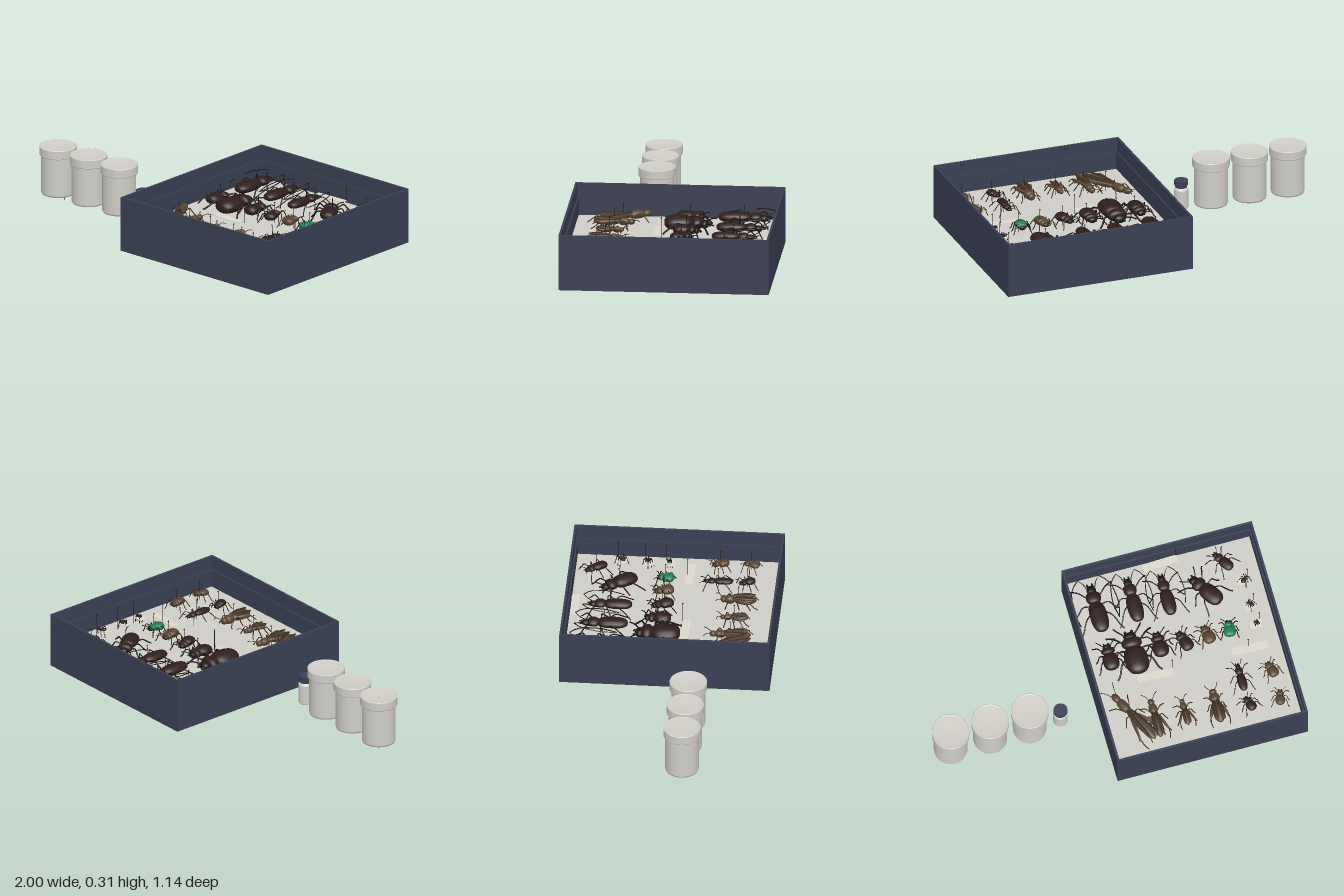
import * as THREE from 'three';

const mat = (name, color, side = THREE.FrontSide) => {
  const m = new THREE.MeshStandardMaterial({ color, side });
  m.name = name;
  return m;
};
const M = {
  navy: mat('navy board', 0x3a4054),
  pale: mat('pale foam and frosted glass', 0xcfcdc6),
  label: mat('paper label', 0xdad8cc),
  shell: mat('dark shell', 0x2f1e1d),
  black: mat('black limbs', 0x1d1716),
  brown: mat('brown shell', 0x584430),
  limb: mat('brown limbs', 0x3c2d20),
  green: mat('green shell', 0x1f7f50),
};
const FLOOR = 0.13; // height of the foam bed
const LIFT = 0.042; // insects are pinned above the foam

function add(parent, name, geo, material, x = 0, y = 0, z = 0) {
  const mesh = new THREE.Mesh(geo, material);
  mesh.name = name;
  mesh.position.set(x, y, z);
  parent.add(mesh);
  return mesh;
}

// rounded pod along z; a higher exponent gives straighter sides
function podGeometry(n) {
  const pts = [];
  for (let i = 0; i <= 14; i++) {
    const t = -Math.cos((Math.PI * i) / 14);
    pts.push(new THREE.Vector2(Math.pow(Math.max(0, 1 - Math.pow(Math.abs(t), n)), 1 / n), t));
  }
  return new THREE.LatheGeometry(pts, 16).rotateX(Math.PI / 2);
}
const ROUND = podGeometry(2), BLUNT = podGeometry(2.7);

function pod(parent, name, material, geo, w, h, l, x, y, z) {
  const p = add(parent, name, geo, material, x, y, z);
  p.scale.set(w / 2, h / 2, l / 2);
  return p;
}

function limb(parent, name, pts, r, material) {
  const curve = new THREE.CatmullRomCurve3(pts.map((p) => new THREE.Vector3(...p)), false, 'catmullrom', 0.3);
  return add(parent, name, new THREE.TubeGeometry(curve, 9, r, 5), material);
}

function pin(parent, x, z, top = 0.115) {
  add(parent, 'pin', new THREE.CylinderGeometry(0.0015, 0.0015, top, 5), M.black, x, FLOOR + top / 2, z);
  add(parent, 'pinHead', new THREE.SphereGeometry(0.004, 8, 6), M.black, x, FLOOR + top, z);
}

// six jointed legs, L body length, W body width, S sideways reach
function legs(g, L, W, S, r, m) {
  const rows = [[-0.2, -0.36, -0.5], [-0.06, -0.06, 0.06], [0.06, 0.22, 0.5]];
  for (const s of [-1, 1]) for (const [hip, knee, foot] of rows) {
    limb(g, 'leg', [
      [s * W * 0.25, -0.006, hip * L], [s * (W * 0.25 + S * 0.4), 0.012, knee * L],
      [s * S * 0.85, -0.02, (knee * 0.3 + foot * 0.7) * L], [s * S, -LIFT + 0.006, foot * L],
    ], r, m);
  }
}

function beetle(g, L, W, S, body, limbs, horn) {
  const H = W * 0.62;
  pod(g, 'wingCases', body, BLUNT, W, H, L * 0.64, 0, 0, L * 0.18);
  pod(g, 'thorax', body, BLUNT, W * 0.86, H * 0.85, L * 0.25, 0, 0, -L * 0.22);
  pod(g, 'head', limbs, ROUND, W * 0.55, H * 0.6, L * 0.2, 0, -H * 0.08, -L * 0.38);
  // seam between the wing cases
  pod(g, 'seam', limbs, BLUNT, W * 0.03, H * 1.02, L * 0.64, 0, 0.0005, L * 0.18);
  const r = Math.max(0.0022, W * 0.04);
  legs(g, L, W, S, r, limbs);
  for (const s of [-1, 1]) {
    pod(g, 'jaw', limbs, ROUND, W * 0.13, H * 0.2, L * 0.12, s * W * 0.14, -H * 0.1, -L * 0.47);
    const path = horn
      ? [[s * W * 0.2, 0, -L * 0.4], [s * S * 0.45, 0.02, -L * 0.62], [s * S * 0.9, 0.02, -L * 0.42],
        [s * S * 1.05, 0.01, -L * 0.02], [s * S * 0.9, 0, L * 0.3]]
      : [[s * W * 0.2, 0, -L * 0.4], [s * W * 0.45, 0.008, -L * 0.52], [s * W * 0.6, 0.004, -L * 0.62]];
    limb(g, 'antenna', path, r * 0.8, limbs);
  }
}

function cricket(g, L, W, S) {
  const H = W * 0.8;
  pod(g, 'abdomen', M.brown, ROUND, W, H, L * 0.66, 0, 0, L * 0.17);
  pod(g, 'thorax', M.brown, BLUNT, W * 0.9, H, L * 0.25, 0, 0, -L * 0.23);
  pod(g, 'head', M.brown, ROUND, W * 0.7, H * 0.8, L * 0.17, 0, 0, -L * 0.4);
  legs(g, L * 0.7, W, S * 0.9, 0.003, M.limb);
  for (const s of [-1, 1]) {
    // folded wing, strong hind thigh and shin
    const wing = pod(g, 'wing', M.limb, ROUND, W * 0.45, H * 0.3, L * 0.62, s * W * 0.27, H * 0.38, L * 0.16);
    wing.rotation.y = s * 0.08;
    const thigh = pod(g, 'thigh', M.brown, ROUND, W * 0.3, W * 0.4, L * 0.44, s * (W * 0.3 + S * 0.27), 0.005, L * 0.14);
    thigh.rotation.y = s * 0.35;
    const k = s * (W * 0.3 + S * 0.27 + L * 0.075);
    limb(g, 'shin', [[k, 0.005, L * 0.34], [k * 1.05, -0.015, L * 0.44], [k * 0.95, -0.032, L * 0.54]], 0.0028, M.limb);
    limb(g, 'antenna', [[s * W * 0.2, 0.006, -L * 0.44], [s * W * 0.5, 0.016, -L * 0.55], [s * S * 0.6, 0.01, -L * 0.62]], 0.002, M.limb);
  }
}

function jar(root, x) {
  const g = new THREE.Group();
  g.name = 'specimenJar';
  g.position.set(x, 0, 0.16);
  root.add(g);
  const v = (a) => a.map((p) => new THREE.Vector2(...p));
  add(g, 'jarBody', new THREE.LatheGeometry(v([[0, 0.026], [0.082, 0.026], [0.082, 0.026], [0.089, 0.029],
    [0.092, 0.037], [0.092, 0.037], [0.092, 0.255]]), 40), M.pale);
  add(g, 'jarLid', new THREE.LatheGeometry(v([[0.09, 0.25], [0.1, 0.25], [0.1, 0.25], [0.102, 0.253], [0.102, 0.253],
    [0.102, 0.298], [0.102, 0.298], [0.1, 0.301], [0.097, 0.301], [0.097, 0.301], [0.09, 0.297], [0, 0.294]]), 40), M.pale);
}

export function createModel() {
  const root = new THREE.Group();
  root.name = 'insectCollection';

  // display case
  const box = new THREE.Group();
  box.name = 'displayCase';
  root.add(box);
  const cx = 0.464, w = 1.072, d = 1.144;
  add(box, 'base', new THREE.BoxGeometry(w, 0.12, d), M.navy, cx, 0.06, 0);
  add(box, 'foamBed', new THREE.BoxGeometry(w - 0.03, 0.012, d - 0.03), M.pale, cx, FLOOR - 0.006, 0);
  for (const [name, t, inset, top] of [['wall', 0.012, 0, 0.308], ['innerLedge', 0.008, 0.012, 0.23]]) {
    const h = top - 0.118, y = (top + 0.118) / 2;
    for (const s of [-1, 1]) {
      add(box, name, new THREE.BoxGeometry(t, h, d - 2 * inset), M.navy, cx + s * (w / 2 - inset - t / 2), y, 0);
      add(box, name, new THREE.BoxGeometry(w - 2 * (inset + t), h, t), M.navy, cx, y, s * (d / 2 - inset - t / 2));
    }
  }

  // paper strips with their pins
  for (const [x, z, a, px, pz] of [[0.47, -0.527, 0.04, 0.565, -0.55], [0.275, 0.088, -0.04, 0.375, 0.065], [0.81, 0.075, -0.03, 0.805, 0.06]]) {
    add(box, 'labelStrip', new THREE.BoxGeometry(0.2, 0.003, 0.045), M.label, x, FLOOR + 0.012, z).rotation.y = a;
    pin(box, px, pz);
  }

  // x, z, length, width, reach, turn, shell, limbs, long antennae
  const { shell, black, brown, limb: tan, green } = M;
  const beetles = [
    [0.067, -0.36, 0.28, 0.096, 0.12, 0, shell, black, true],
    [0.27, -0.355, 0.26, 0.084, 0.105, 0, shell, black, true],
    [0.452, -0.335, 0.24, 0.076, 0.1, 0, shell, black, true],
    [0.665, -0.305, 0.22, 0.095, 0.1, 0.6, shell, black],
    [0.8, -0.44, 0.135, 0.06, 0.07, 0.6, shell, black],
    [0.061, -0.07, 0.155, 0.088, 0.078, 0, shell, black],
    [0.197, -0.06, 0.25, 0.13, 0.125, 0, shell, black],
    [0.34, -0.068, 0.145, 0.088, 0.075, 0, shell, black],
    [0.475, -0.053, 0.125, 0.072, 0.065, 0.35, shell, black],
    [0.607, -0.055, 0.11, 0.07, 0.058, 0.2, brown, tan],
    [0.73, -0.055, 0.095, 0.068, 0.052, -0.15, green, black],
    [0.715, 0.232, 0.16, 0.05, 0.062, 0, shell, black],
    [0.72, 0.39, 0.09, 0.054, 0.055, 0.4, shell, black],
    [0.887, 0.232, 0.095, 0.06, 0.052, 0.3, brown, tan],
    [0.89, 0.4, 0.09, 0.052, 0.05, -0.25, brown, tan],
  ];
  const place = (name, x, z, turn) => {
    const g = new THREE.Group();
    g.name = name;
    g.position.set(x, FLOOR + LIFT, z);
    g.rotation.y = turn;
    box.add(g);
    return g;
  };
  for (const [x, z, L, W, S, turn, body, limbs, horn] of beetles) {
    beetle(place('beetle', x, z, turn), L, W, S, body, limbs, horn);
    pin(box, x + W * 0.2, z);
  }

  // crickets and locusts: x, z, length, width, reach, turn
  for (const [x, z, L, W, S, turn] of [[0.095, 0.295, 0.35, 0.058, 0.075, 0.48], [0.207, 0.335, 0.23, 0.052, 0.075, 0],
    [0.37, 0.345, 0.155, 0.04, 0.06, 0], [0.545, 0.355, 0.2, 0.062, 0.06, 0]]) {
    cricket(place('cricket', x, z, turn), L, W, S);
    pin(box, x + W * 0.2, z);
  }

  // tiny insects glued on pinned cards
  for (const [x, z, size, turn] of [[0.885, -0.305, 0.05, -0.9], [0.88, -0.16, 0.042, 0.7], [0.882, -0.045, 0.026, 0.2]]) {
    const g = place('cardedInsect', x, z, 0);
    add(g, 'card', new THREE.BoxGeometry(0.065, 0.003, 0.05), M.label, -0.005, -0.006, 0.005).rotation.y = turn * 0.2;
    const bug = new THREE.Group();
    bug.name = 'tinyBeetle';
    bug.rotation.y = turn;
    bug.position.y = 0.005;
    g.add(bug);
    beetle(bug, size, size * 0.5, size * 0.6, shell, black);
    pin(box, x + 0.02, z - 0.02, 0.135);
  }

  // jars, the first with insect feet showing through its base
  for (const x of [-0.898, -0.676, -0.453]) jar(root, x);
  for (let i = 0; i < 6; i++) {
    const x = -0.935 + 0.022 * i, z = 0.16 + (i % 2 ? 0.03 : -0.03);
    limb(root, 'foot', [[x, 0.035, z], [x + 0.004, 0.024, z], [x - 0.002, 0.012, z]], 0.002, M.black);
  }

  // small vial with a dark stopper
  const vial = new THREE.Group();
  vial.name = 'vial';
  vial.position.set(-0.28, 0, 0.16);
  root.add(vial);
  const profile = [[0, 0.027], [0.036, 0.027], [0.036, 0.027], [0.039, 0.031], [0.039, 0.031], [0.039, 0.137], [0.039, 0.137],
    [0.036, 0.144], [0.029, 0.149], [0.029, 0.149], [0.029, 0.168]];
  add(vial, 'vialBody', new THREE.LatheGeometry(profile.map((p) => new THREE.Vector2(...p)), 28), M.pale);
  add(vial, 'stopperRing', new THREE.CylinderGeometry(0.033, 0.033, 0.012, 28), M.navy, 0, 0.158, 0);
  add(vial, 'stopper', new THREE.CylinderGeometry(0.038, 0.038, 0.024, 28), M.navy, 0, 0.179, 0);
  return root;
}
